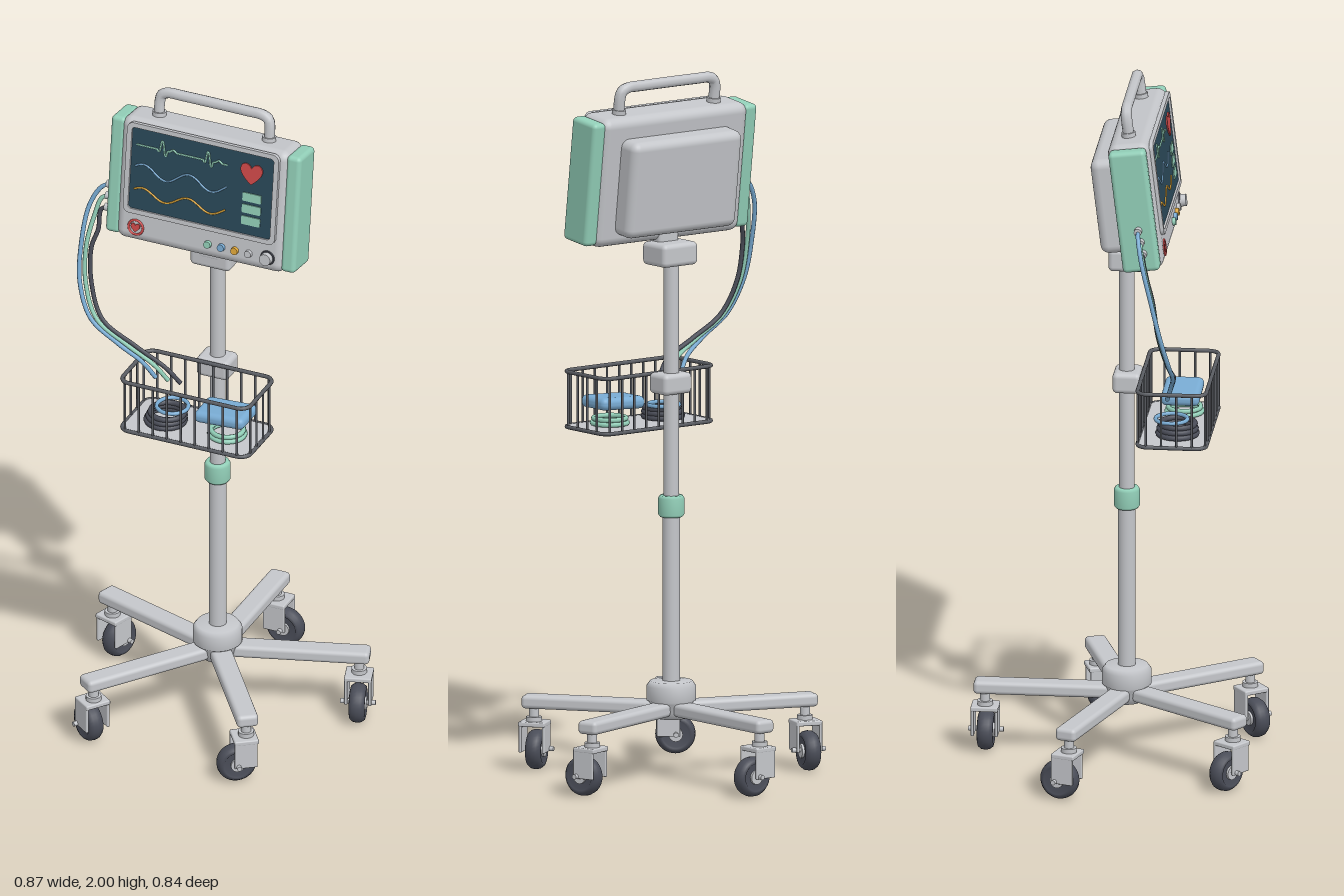
import * as THREE from 'three';
import { RoundedBoxGeometry } from 'three/addons/geometries/RoundedBoxGeometry.js';

const mat = (name, color) => {
  const m = new THREE.MeshStandardMaterial({ color });
  m.name = name;
  return m;
};
const V = (x, y, z) => new THREE.Vector3(x, y, z);

export function createModel() {
  const shell = mat('shellGrey', 0xc4c6ca);
  const mint = mat('mint', 0x92cfb8);
  const glass = mat('screenGlass', 0x2a4858);
  const rubber = mat('rubber', 0x4a4d58);
  const wire = mat('basketWire', 0x5a5d63);
  const blue = mat('blue', 0x79acd4);
  const red = mat('red', 0xd04a4a);
  const amber = mat('amber', 0xe0a83a);
  const AX = -0.012, AZ = 0.037; // pole axis

  const model = new THREE.Group();
  model.name = 'patientMonitorCart';
  const add = (parent, name, geo, material, x = 0, y = 0, z = 0) => {
    const m = new THREE.Mesh(geo, material);
    m.name = name;
    m.position.set(x, y, z);
    parent.add(m);
    return m;
  };
  const box = (w, h, d, r = 0.01) => new RoundedBoxGeometry(w, h, d, 3, r);
  const cyl = (r, h, r2 = r) => new THREE.CylinderGeometry(r, r2, h, 24);
  const lathe = (pts) => new THREE.LatheGeometry(pts.map(p => new THREE.Vector2(...p)), 32);
  const tube = (pts, r, seg = 64, closed = false) =>
    new THREE.TubeGeometry(new THREE.CatmullRomCurve3(pts, closed, 'centripetal'), seg, r, 8, closed);
  const roundRect = (w, h, r, S = THREE.Shape) => {
    const s = new S(), a = w / 2, b = h / 2;
    s.moveTo(-a + r, -b).lineTo(a - r, -b).absarc(a - r, -b + r, r, -Math.PI / 2, 0);
    s.lineTo(a, b - r).absarc(a - r, b - r, r, 0, Math.PI / 2);
    s.lineTo(-a + r, b).absarc(-a + r, b - r, r, Math.PI / 2, Math.PI);
    s.lineTo(-a, -b + r).absarc(-a + r, -b + r, r, Math.PI, Math.PI * 1.5);
    return s;
  };
  const extrude = (shape, depth) =>
    new THREE.ExtrudeGeometry(shape, { depth, bevelEnabled: false, curveSegments: 8 });

  // Five-legged base with casters
  const base = new THREE.Group();
  base.name = 'base';
  base.position.set(AX, 0, AZ);
  model.add(base);
  add(base, 'baseHub', lathe([[0, 0.17], [0.045, 0.17], [0.055, 0.19], [0.062, 0.215], [0.07, 0.222],
    [0.07, 0.262], [0.06, 0.276], [0, 0.278]]), shell);
  const tyreProfile = [[0, -0.018], [0.036, -0.018], [0.04, -0.023], [0.048, -0.021], [0.055, -0.012],
    [0.057, 0], [0.055, 0.012], [0.048, 0.021], [0.04, 0.023], [0.036, 0.018], [0, 0.018]];
  for (let i = 0; i < 5; i++) {
    const leg = new THREE.Group();
    leg.name = 'leg' + (i + 1);
    leg.rotation.y = i * Math.PI * 2 / 5;
    base.add(leg);
    add(leg, 'legBeam', box(0.062, 0.038, 0.39, 0.012), shell, 0, 0.199, -0.238);
    const caster = new THREE.Group();
    caster.name = 'caster';
    caster.position.z = -0.402;
    leg.add(caster);
    add(caster, 'casterStem', cyl(0.014, 0.06), shell, 0, 0.16, 0);
    add(caster, 'casterCollar', cyl(0.022, 0.014), shell, 0, 0.148, 0);
    add(caster, 'forkTop', box(0.07, 0.014, 0.078, 0.004), shell, 0.005, 0.135, 0);
    for (const s of [-1, 1])
      add(caster, 'forkPlate', box(0.066, 0.085, 0.009, 0.003), shell, 0.007, 0.096, s * 0.034);
    add(caster, 'wheel', lathe(tyreProfile), rubber, 0.028, 0.057, 0).rotation.x = Math.PI / 2;
    add(caster, 'wheelHub', cyl(0.02, 0.05), shell, 0.028, 0.057, 0).rotation.x = Math.PI / 2;
    add(caster, 'axle', cyl(0.007, 0.1), shell, 0.028, 0.06, 0).rotation.x = Math.PI / 2;
  }

  // Pole and fittings
  add(model, 'lowerPole', cyl(0.025, 0.53), shell, AX, 0.515, AZ);
  add(model, 'upperPole', cyl(0.022, 0.74), shell, AX, 1.13, AZ);
  add(model, 'heightCollar', lathe([[0.02, 0.745], [0.032, 0.745], [0.037, 0.752], [0.037, 0.798],
    [0.032, 0.806], [0.02, 0.806]]), mint, AX, 0, AZ);
  add(model, 'basketClamp', box(0.1, 0.06, 0.08, 0.014), shell, AX, 1.127, AZ + 0.003);
  add(model, 'neckBlock', box(0.125, 0.066, 0.105, 0.014), shell, AX, 1.498, AZ + 0.005);
  add(model, 'neckPost', box(0.07, 0.09, 0.05), shell, AX, 1.54, 0.07);

  // Tilted monitor
  const monitor = new THREE.Group();
  monitor.name = 'monitor';
  monitor.position.set(AX, 1.725, 0.087);
  monitor.rotation.x = -0.122;
  model.add(monitor);
  add(monitor, 'monitorBody', box(0.52, 0.375, 0.12, 0.028), shell);
  add(monitor, 'rearHousing', box(0.393, 0.28, 0.09, 0.025), shell, 0, -0.012, -0.078);
  for (const s of [-1, 1])
    add(monitor, 'sideBumper', box(0.045, 0.358, 0.106, 0.013), mint, s * 0.2715, 0, 0);
  const handle = [[-0.17, 0.17], [-0.17, 0.235], [-0.164, 0.252], [-0.145, 0.261], [-0.1, 0.262]];
  const handlePts = [...handle, ...handle.map(([x, y]) => [-x, y]).reverse()].map(([x, y]) => V(x, y, -0.004));
  add(monitor, 'handle', tube(handlePts, 0.016, 60), shell);
  for (const s of [-1, 1]) add(monitor, 'handleFoot', cyl(0.02, 0.02), shell, s * 0.17, 0.19, -0.004);

  // Screen with raised frame
  const SY = 0.042, SZ = 0.064;
  const frame = roundRect(0.47, 0.278, 0.02);
  frame.holes.push(roundRect(0.44, 0.25, 0.01, THREE.Path));
  add(monitor, 'screenFrame', extrude(frame, 0.012), shell, 0, SY, 0.058);
  add(monitor, 'screen', extrude(roundRect(0.444, 0.254, 0.01), 0.006), glass, 0, SY, 0.058);

  // Traces on the screen
  const trace = (name, y, material, f) => {
    const pts = [];
    for (let i = 0; i <= 80; i++) pts.push(V(-0.205 + 0.283 * i / 80, y + f(i / 80), 0));
    add(monitor, name, tube(pts, 0.0028, 160), material, 0, 0, SZ + 0.001);
  };
  const spike = (t, c, w, h) => h * Math.max(0, 1 - Math.abs(t - c) / w);
  const beat = (t, c) => spike(t, c, 0.025, 0.034) - spike(t, c + 0.04, 0.02, 0.022)
    - spike(t, c - 0.035, 0.015, 0.01) + spike(t, c + 0.12, 0.04, 0.008);
  trace('pulseTrace', 0.115, mint, t => beat(t, 0.28) + beat(t, 0.78));
  trace('pressureTrace', 0.04, blue, t => 0.018 * Math.sin(t * Math.PI * 4 + 0.5));
  trace('breathTrace', -0.03, amber, t => 0.015 * Math.sin(t * Math.PI * 4 + 0.5));
  const heart = (s) => {
    const h = new THREE.Shape();
    h.moveTo(0, -s).bezierCurveTo(-0.5 * s, -0.6 * s, -s, -0.1 * s, -s, 0.35 * s);
    h.bezierCurveTo(-s, s, -0.2 * s, 1.05 * s, 0, 0.45 * s);
    h.bezierCurveTo(0.2 * s, 1.05 * s, s, s, s, 0.35 * s);
    h.bezierCurveTo(s, -0.1 * s, 0.5 * s, -0.6 * s, 0, -s);
    return extrude(h, 0.004);
  };
  add(monitor, 'screenHeart', heart(0.034), red, 0.152, 0.106, SZ);
  for (let i = 0; i < 3; i++)
    add(monitor, 'readoutBar', extrude(roundRect(0.058, 0.026, 0.004), 0.003), mint, 0.157, 0.032 - i * 0.036, SZ);

  // Front controls
  const CY = -0.142;
  const knob = (name, r, h, m, x) => {
    add(monitor, name, cyl(r, h, r * 1.08), m, x, CY, 0.058 + h / 2).rotation.x = Math.PI / 2;
  };
  add(monitor, 'badgeRing', new THREE.TorusGeometry(0.022, 0.0035, 8, 28), red, -0.196, CY, 0.06);
  add(monitor, 'badgeHeart', heart(0.014), red, -0.196, CY, 0.06);
  [mint, blue, amber, shell].forEach((m, i) => knob('button', 0.0105, 0.012, m, 0.028 + i * 0.042));
  knob('dialRing', 0.021, 0.006, rubber, 0.212);
  knob('dial', 0.017, 0.022, shell, 0.212);

  // Wire basket
  const basket = new THREE.Group();
  basket.name = 'basket';
  basket.position.set(-0.01, 0, 0.182);
  model.add(basket);
  const outline = roundRect(0.395, 0.195, 0.03);
  outline.closePath();
  const ring = (n) => outline.getSpacedPoints(n).slice(0, n);
  for (const y of [0.992, 1.15])
    add(basket, 'basketRim', tube(ring(90).map(p => V(p.x, y, p.y)), 0.006, 180, true), wire);
  for (const p of ring(26)) add(basket, 'basketBar', new THREE.CylinderGeometry(0.0035, 0.0035, 0.158, 8), wire, p.x, 1.071, p.y);
  add(basket, 'basketFloor', extrude(outline, 0.008), shell, 0, 0.996, 0).rotation.x = Math.PI / 2;

  // Basket contents
  const coil = (name, m, x, y, z, r, t) => {
    add(model, name, new THREE.TorusGeometry(r, t, 8, 36), m, x, y, z).rotation.x = Math.PI / 2;
  };
  for (let i = 0; i < 3; i++) coil('darkCoil', rubber, -0.103 + i * 0.003, 1.004 + i * 0.013, 0.19, 0.055 - i * 0.003, 0.008);
  coil('blueCoil', blue, -0.09, 1.04, 0.172, 0.045, 0.006);
  for (let i = 0; i < 2; i++) coil('mintCoil', mint, 0.088, 1.004 + i * 0.013, 0.19, 0.05 - i * 0.004, 0.007);
  add(model, 'cuff', box(0.155, 0.036, 0.11, 0.016), blue, 0.08, 1.064, 0.185).rotation.z = 0.05;

  // Leads from the side ports into the basket
  [blue, mint, rubber].forEach((m, i) => {
    const y = 1.672 - i * 0.034, d = i * 0.016, z = 0.1 + i * 0.007;
    add(model, 'leadPlug', cyl(0.011, 0.035), shell, -0.308, y, z).rotation.z = Math.PI / 2;
    add(model, 'lead', tube([V(-0.3, y, z), V(-0.335, y - 0.008, z + 0.002), V(-0.372 + d, y - 0.07, z + 0.015),
      V(-0.386 + d, 1.48, 0.145), V(-0.378 + d, 1.37, 0.17 - d * 0.3), V(-0.335 + d, 1.275, 0.19 - d * 0.3),
      V(-0.25 + d * 1.5, 1.215, 0.192 - d * 0.3), V(-0.18 + d * 2.2, 1.165, 0.18),
      V(-0.145 + d * 2.4, 1.115, 0.165)], 0.0065, 90), m);
  });

  return model;
}
